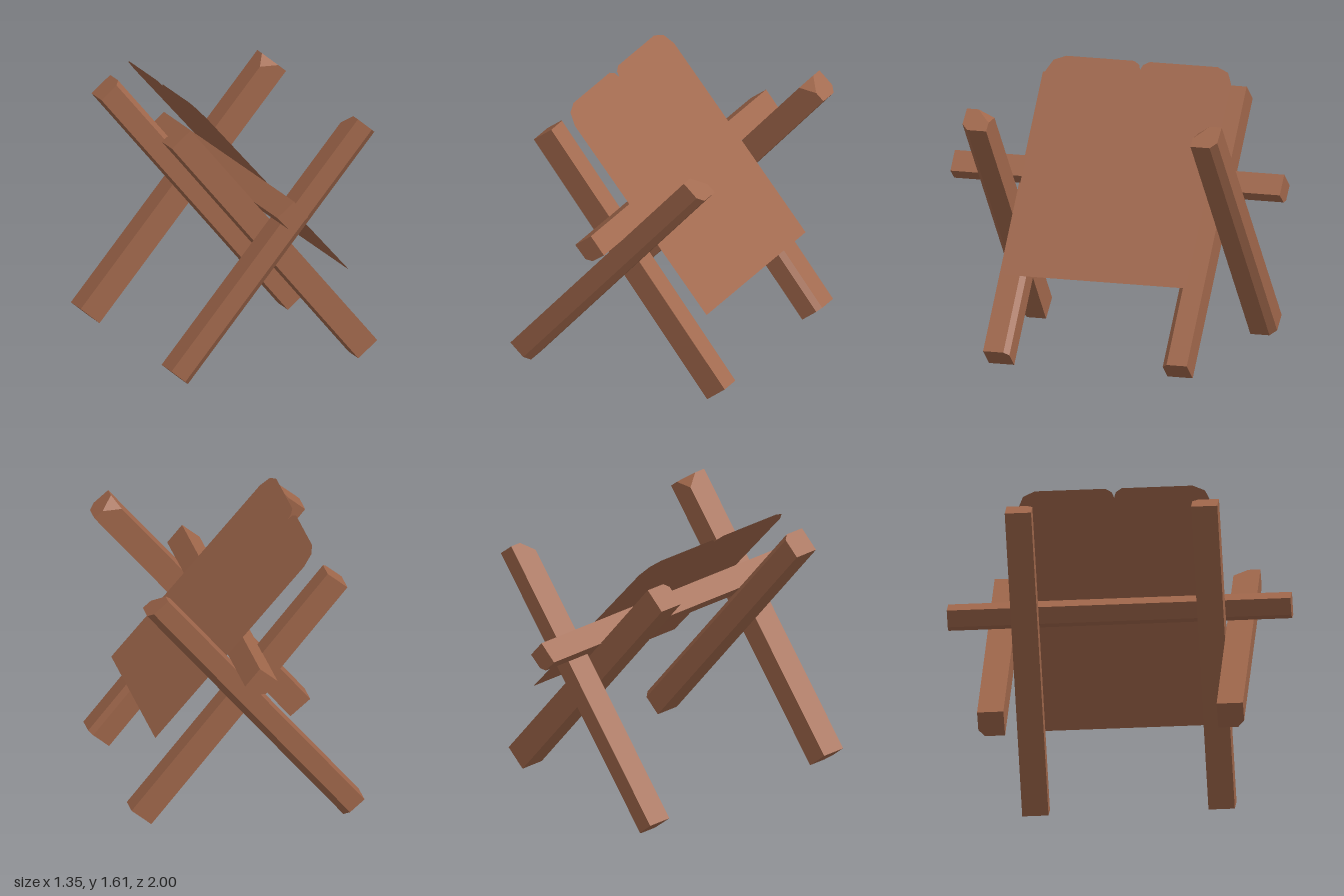
import * as THREE from 'three';
import { ConvexGeometry } from 'three/addons/geometries/ConvexGeometry.js';

const LENGTH = 1.819, H = 0.0765; // beam length and half thickness
const TILT = Math.atan2(1.395, 1.1675);

export function createModel() {
  const group = new THREE.Group();
  const wood = new THREE.MeshStandardMaterial({ color: 0xa0674b, flatShading: true });
  const hideMaterial = new THREE.MeshStandardMaterial({ color: 0xa0674b, side: THREE.DoubleSide });

  const add = (name, geometry, material = wood) => {
    const mesh = new THREE.Mesh(geometry, material);
    mesh.name = name;
    group.add(mesh);
    return mesh;
  };

  // Prism between the two ends of a beam, from a convex section of [y, z] pairs
  const beamPoints = (section) =>
    section.flatMap(([y, z]) => [-1, 1].map((s) => new THREE.Vector3(s * LENGTH / 2, y, z)));

  // Outer legs: bevelled lower outer edge, chipped corner at the top end
  const L = LENGTH / 2;
  const outer = [
    ...beamPoints([[H, H], [-H, -H], [-H, H - 0.037], [-H + 0.04, H]]),
    new THREE.Vector3(-L, H, -H),
    new THREE.Vector3(L - 0.072, H, -H),
    new THREE.Vector3(L, H - 0.09, -H),
    new THREE.Vector3(L, H, -H + 0.082),
  ];
  // Inner legs: bevelled upper inner edge
  const inner = beamPoints([[H, H], [-H, H], [-H, -H], [H - 0.03, -H], [H, -H + 0.03]]);

  // Tilt a beam, move it into its frame and mirror it
  const leg = (name, points, offset, mx, mz) => {
    const axis = new THREE.Vector3(0, 0, 1);
    const placed = points.map((p) => {
      const q = p.clone().applyAxisAngle(axis, TILT);
      return new THREE.Vector3(mx * (q.x - 0.033), q.y + 0.7525, mz * (q.z + offset));
    });
    add(name, new ConvexGeometry(placed));
  };

  for (const [side, mz] of [['front', 1], ['back', -1]]) {
    leg(side + 'OuterLeg', outer, 0.697, 1, mz);
    leg(side + 'InnerLeg', inner, 0.542, -1, mz);
  }

  // Ridge pole resting in the crossed legs
  const ridge = new THREE.Shape([
    [0, 1.118], [-0.105, 1.03], [-0.036, 0.955], [0.012, 0.955], [0.088, 1.015],
  ].map(([x, y]) => new THREE.Vector2(x, y)));
  const pole = new THREE.ExtrudeGeometry(ridge, { depth: 2, bevelEnabled: false });
  add('ridgePole', pole.translate(0, 0, -1));

  // Thin hide panel with clipped top corners and a notch, drawn as [z, y] and then leaned
  const half = [[0.565, 0.53], [0.565, 1.535], [0.53, 1.593], [0.46, 1.617], [0.048, 1.617], [0.012, 1.6]];
  const outline = [...half, [0, 1.575], ...half.map(([z, y]) => [-z, y]).reverse()];
  const hide = new THREE.ShapeGeometry(new THREE.Shape(outline.map(([z, y]) => new THREE.Vector2(-z, y))));
  hide.rotateY(Math.PI / 2);
  const pos = hide.attributes.position;
  for (let i = 0; i < pos.count; i++) pos.setX(i, 0.522 - (pos.getY(i) - 0.53) * 0.881);
  hide.computeVertexNormals();
  add('hidePanel', hide, hideMaterial);

  return group;
}
